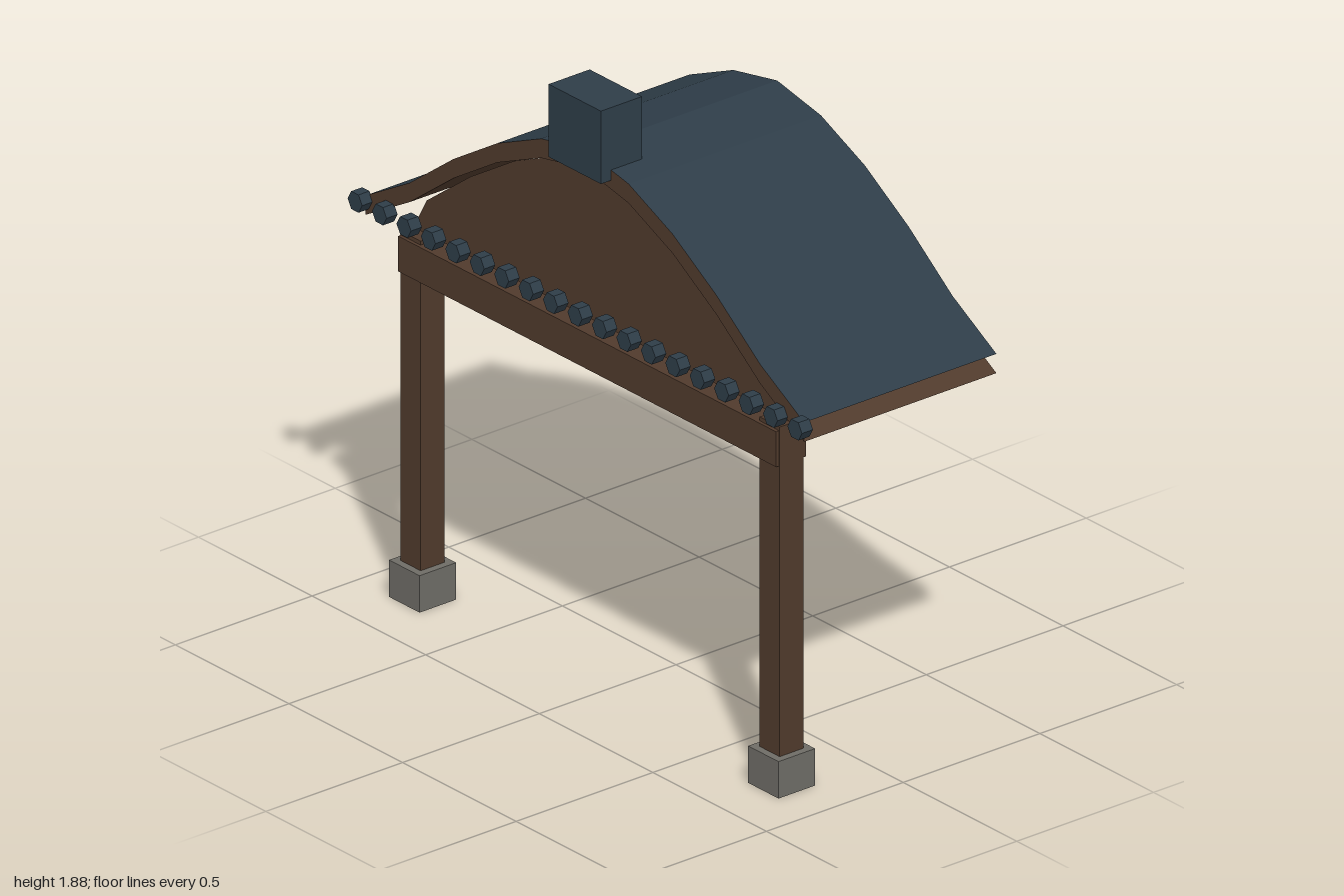
import * as THREE from 'three';

export function createModel() {
  const model = new THREE.Group();
  const paint = (name, color, side = THREE.FrontSide) => {
    const m = new THREE.MeshStandardMaterial({ color, side, flatShading: true });
    m.name = name;
    return m;
  };
  const wood = paint('dark wood', 0x503a2c, THREE.DoubleSide);
  const slate = paint('blue slate', 0x2e3d48, THREE.DoubleSide);
  const stone = paint('grey stone', 0x6e6c66);

  const add = (name, geometry, material, x = 0, y = 0, z = 0) => {
    const mesh = new THREE.Mesh(geometry, material);
    mesh.name = name;
    mesh.position.set(x, y, z);
    model.add(mesh);
    return mesh;
  };
  const box = (name, material, w, d, y0, y1, x, z) =>
    add(name, new THREE.BoxGeometry(w, y1 - y0, d), material, x, (y0 + y1) / 2, z);

  // Gate frame: two posts on stone footings, joined by a beam
  const frameZ = 0.27;
  for (const side of [-1, 1]) {
    box('footing', stone, 0.134, 0.134, 0, 0.115, side * 0.79, frameZ);
    box('post', wood, 0.088, 0.088, 0.05, 1.142, side * 0.79, frameZ);
  }
  box('beam', wood, 1.664, 0.11, 1.02, 1.13, 0, frameZ);

  // Roof curve from the ridge to one eave, mirrored to the other
  const half = [[0, 1.708], [0.193, 1.67], [0.386, 1.585], [0.579, 1.465], [0.772, 1.32], [0.965, 1.21]];
  const mirror = (pts) => [...pts.slice(1).reverse().map(([x, y]) => [-x, y]), ...pts];
  const top = mirror(half);
  const drop = 0.06, frontZ = 0.333, backZ = -0.37;
  const under = top.map(([x, y]) => [x, y - drop]);

  // Curved sheet swept from the front to the back, facing up
  const sheet = (curve) => {
    const pos = [], index = [];
    curve.forEach(([x, y], i) => {
      pos.push(x, y, frontZ, x, y, backZ);
      if (i) {
        const a = 2 * i - 2;
        index.push(a, a + 2, a + 1, a + 1, a + 2, a + 3);
      }
    });
    const g = new THREE.BufferGeometry();
    g.setAttribute('position', new THREE.Float32BufferAttribute(pos, 3));
    g.setIndex(index);
    const flat = g.toNonIndexed();
    flat.computeVertexNormals();
    return flat;
  };
  const plate = (pts) =>
    new THREE.ShapeGeometry(new THREE.Shape(pts.map(([x, y]) => new THREE.Vector2(x, y))));

  add('roofTop', sheet(top), slate);
  add('roofUnderside', sheet(under), wood);
  add('bargeboard', plate([...top, ...under.slice().reverse()]), wood, 0, 0, frontZ);

  // Gable panel just below the roof curve
  const gable = half.slice(0, 5).map(([x, y]) => [x, y - drop - 0.014]);
  gable.push([0.83, 1.142]);
  add('gable', plate(mirror(gable)), wood, 0, 0, frameZ);

  // Row of six-sided tile ends along the front
  const tile = new THREE.CylinderGeometry(0.032, 0.032, 0.04, 6);
  tile.rotateY(Math.PI / 6 + Math.PI / 3).rotateX(Math.PI / 2);
  for (let i = 0; i < 19; i++) {
    add('tileEnd', tile, slate, -0.968 + i * (1.936 / 18), 1.2, 0.35);
  }

  // Block at the front of the ridge
  box('ridgeBlock', slate, 0.23, 0.15, 1.653, 1.88, 0, 0.295);

  return model;
}
